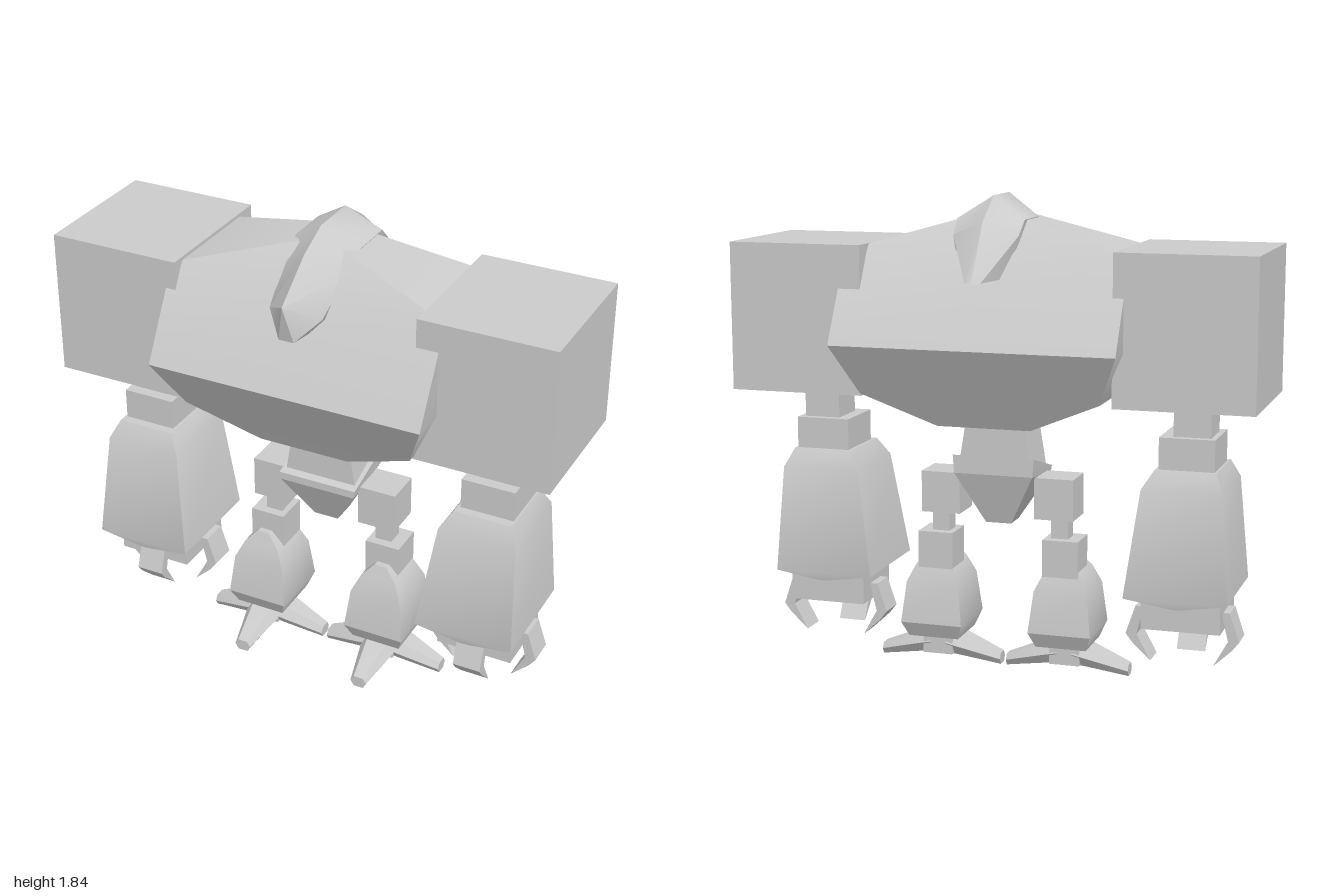
import * as THREE from 'three';
import { toCreasedNormals } from 'three/addons/utils/BufferGeometryUtils.js';

const material = new THREE.MeshStandardMaterial({ color: 0xcccccc });
const CX = 0.023; // middle line of torso, head and legs

function add(parent, name, geometry, x = 0, y = 0, z = 0) {
  const mesh = new THREE.Mesh(geometry, material);
  mesh.name = name;
  mesh.position.set(x, y, z);
  parent.add(mesh);
  return mesh;
}

// Closed skin over rings of points; rings run anticlockwise seen from the last ring's side
function loft(rings, crease = 0.6) {
  const n = rings[0].length, index = [];
  rings.slice(1).forEach((_, i) => {
    for (let j = 0; j < n; j++) {
      const a = i * n + j, b = i * n + (j + 1) % n;
      index.push(a, b, b + n, a, b + n, a + n);
    }
  });
  const top = (rings.length - 1) * n;
  for (let k = 1; k < n - 1; k++) index.push(0, k + 1, k, top, top + k, top + k + 1);
  const g = new THREE.BufferGeometry();
  g.setAttribute('position', new THREE.Float32BufferAttribute(rings.flat(2), 3));
  g.setIndex(index);
  return toCreasedNormals(g.toNonIndexed(), crease);
}

// Rectangular levels from bottom to top: [y, halfX, halfZ, centreX, centreZ]
function tower(levels, crease) {
  return loft(levels.map(([y, hx, hz, cx = 0, cz = 0]) => [
    [cx - hx, y, cz + hz], [cx + hx, y, cz + hz],
    [cx + hx, y, cz - hz], [cx - hx, y, cz - hz],
  ]), crease);
}

function block(parent, name, cx, hx, y0, y1, z0, z1) {
  add(parent, name, new THREE.BoxGeometry(2 * hx, y1 - y0, z1 - z0), cx, (y0 + y1) / 2, (z0 + z1) / 2);
}

// Hooked finger blade, pointing along +x before it is turned
function clawGeometry() {
  const s = new THREE.Shape([
    [0.15, 0.31], [0.18, 0.31], [0.217, 0.20], [0.19, 0.165],
    [0.12, 0.10], [0.175, 0.20], [0.165, 0.24],
  ].map(([x, y]) => new THREE.Vector2(x, y)));
  return new THREE.ExtrudeGeometry(s, { depth: 0.11, bevelEnabled: false }).translate(0, 0, -0.055);
}

// Tapered six-sided toe running along +x
function toeGeometry() {
  const ring = (x, y0, y1, w) => [
    [x, y0, w * 0.6], [x, y0, -w * 0.6], [x, (y0 + y1) / 2, -w],
    [x, y1, -w * 0.6], [x, y1, w * 0.6], [x, (y0 + y1) / 2, w],
  ];
  return loft([ring(0.03, 0.04, 0.13, 0.07), ring(0.08, 0.035, 0.115, 0.07), ring(0.245, 0.005, 0.05, 0.033)], 0.3);
}

function createHead() {
  // back to front: [ridge z, y], [side x, y, z], [base x, y, z]
  const sections = [
    [[-0.37, 1.54], [0.03, 1.54, -0.36], [0.02, 1.54, -0.30]],
    [[-0.24, 1.75], [0.125, 1.70, -0.20], [0.10, 1.55, -0.22]],
    [[-0.10, 1.84], [0.13, 1.755, -0.14], [0.11, 1.60, -0.10]],
    [[0.09, 1.84], [0.13, 1.755, 0.04], [0.11, 1.60, 0.05]],
    [[0.22, 1.78], [0.125, 1.69, 0.14], [0.09, 1.53, 0.18]],
    [[0.39, 1.65], [0.105, 1.58, 0.285], [0.03, 1.505, 0.36]],
  ];
  return loft(sections.map(([r, s, b]) => [
    [0, r[1], r[0]], [-s[0], s[1], s[2]], [-b[0], b[1], b[2]], b.slice(), s.slice(),
  ]), 0.6);
}

function createArm(s) {
  const arm = new THREE.Group();
  arm.name = s > 0 ? 'leftArm' : 'rightArm';
  block(arm, 'shoulder', s * 0.74, 0.26, 1.10, 1.66, -0.30, 0.27);
  block(arm, 'upperArm', s * 0.73, 0.07, 0.95, 1.12, -0.08, 0.08);
  block(arm, 'elbow', s * 0.717, 0.105, 0.83, 0.97, -0.11, 0.125);
  add(arm, 'forearm', tower([
    [0.34, 0.015, 0.215, s * 0.70, 0.037],
    [0.37, 0.195, 0.222, s * 0.695, 0.037],
    [0.78, 0.153, 0.178, s * 0.71, 0.02],
    [0.85, 0.115, 0.14, s * 0.715, 0.02],
  ], 0.7));
  block(arm, 'wrist', s * 0.705, 0.15, 0.24, 0.38, -0.12, 0.16);
  // outer, inner and front fingers
  for (const turn of [0, Math.PI, -Math.PI / 2]) {
    add(arm, 'finger', clawGeometry(), s * 0.70, 0, -0.003).rotation.y = turn;
  }
  return arm;
}

function createLeg(s) {
  const leg = new THREE.Group();
  leg.name = s > 0 ? 'leftLeg' : 'rightLeg';
  const x = CX + s * 0.257;
  block(leg, 'hip', CX + s * 0.225, 0.077, 0.62, 0.78, -0.075, 0.075);
  block(leg, 'thigh', CX + s * 0.238, 0.034, 0.52, 0.64, -0.034, 0.034);
  block(leg, 'knee', CX + s * 0.25, 0.07, 0.39, 0.54, -0.07, 0.07);
  add(leg, 'shin', tower([
    [0.12, 0.10, 0.105, 0, 0.025],
    [0.18, 0.123, 0.135, 0, 0.025],
    [0.34, 0.105, 0.115, 0, 0.025],
    [0.41, 0.072, 0.09, 0, 0.025],
    [0.46, 0.025, 0.07, 0, 0.025],
  ], 0.5), x);
  block(leg, 'ankle', x, 0.06, 0.04, 0.14, -0.03, 0.10);
  // two side toes and one front toe
  for (const turn of [0, Math.PI, -Math.PI / 2]) {
    add(leg, 'toe', toeGeometry(), x, 0, 0.037).rotation.y = turn;
  }
  return leg;
}

export function createModel() {
  const model = new THREE.Group();
  model.name = 'robot';
  // barrel-like body with sloping shoulders
  add(model, 'torso', tower([
    [0.99, 0.18, 0.235], [1.11, 0.46, 0.303], [1.30, 0.543, 0.412],
    [1.635, 0.543, 0.222], [1.76, 0.10, 0.095],
  ], 0.65), CX);
  add(model, 'head', createHead(), CX);
  // waist and sloping pelvis bowl
  add(model, 'waist', tower([[0.78, 0.148, 0.10], [0.86, 0.135, 0.10], [1.0, 0.112, 0.10]]), CX);
  const rim = (y, w, back, front, lift) => [[-w, y, front], [w, y, front], [w, y + lift, back], [-w, y + lift, back]];
  add(model, 'pelvis', loft([
    rim(0.59, 0.05, -0.05, 0.05, 0),
    rim(0.76, 0.155, -0.12, 0.13, 0.03),
    rim(0.79, 0.16, -0.12, 0.13, 0.07),
  ], 0.3), CX);
  for (const s of [-1, 1]) model.add(createArm(s), createLeg(s));
  return model;
}
